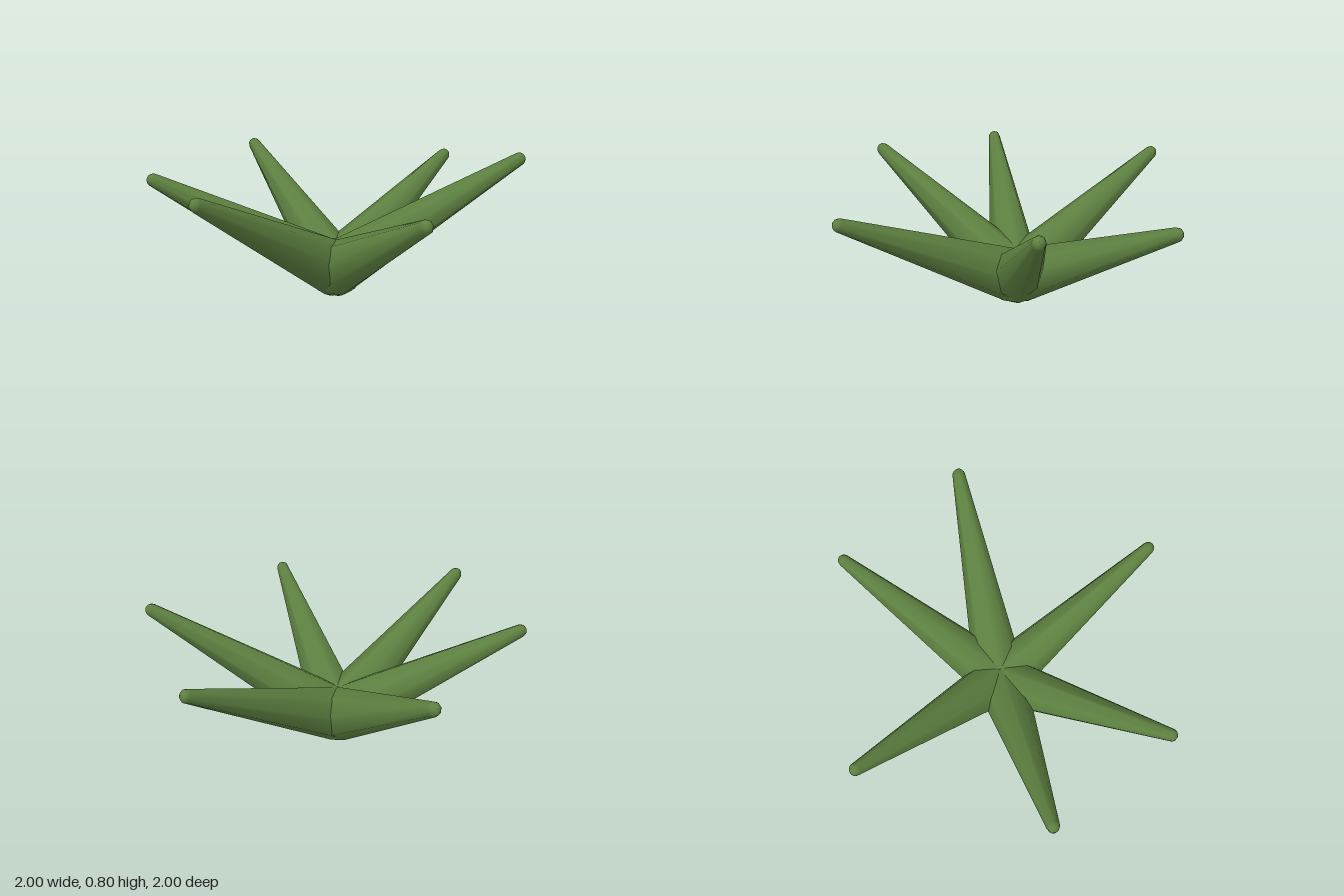
import * as THREE from 'three';

const BASE_R = 0.155, TIP_R = 0.037;

// Tapered leaf along +y: round base, straight taper, round tip
function leafGeometry(length) {
  const taper = Math.asin((BASE_R - TIP_R) / length);
  const profile = [];
  const arc = (centre, r, from, to, steps) => {
    for (let i = 0; i <= steps; i++) {
      const a = from + (to - from) * i / steps;
      profile.push(new THREE.Vector2(Math.max(0, r * Math.cos(a)), centre + r * Math.sin(a)));
    }
  };
  arc(0, BASE_R, -Math.PI / 2, taper, 4);
  arc(length, TIP_R, taper, Math.PI / 2, 4);
  return new THREE.LatheGeometry(profile, 8);
}

export function createModel() {
  const model = new THREE.Group();
  model.name = 'succulentRosette';
  const leafGreen = new THREE.MeshStandardMaterial({ color: 0x5d8040 });
  leafGreen.name = 'leafGreen';

  // Centres of the six rounded leaf tips
  const tips = [
    [0.963, 0.645, 0.228], [0.19, 0.705, 0.963], [-0.54, 0.67, 0.807],
    [-0.963, 0.695, -0.108], [-0.168, 0.65, -0.963], [0.582, 0.765, -0.798],
  ];
  tips.forEach(([x, y, z], i) => {
    const rise = y - BASE_R, reach = Math.hypot(x, z);
    const leaf = new THREE.Mesh(leafGeometry(Math.hypot(rise, reach)), leafGreen);
    leaf.name = `leaf${i + 1}`;
    leaf.position.y = BASE_R;
    leaf.rotation.order = 'YXZ';
    leaf.rotation.set(Math.atan2(reach, rise), Math.atan2(x, z), 0);
    leaf.scale.x = 0.94; // slightly narrower than deep
    model.add(leaf);
  });
  return model;
}
